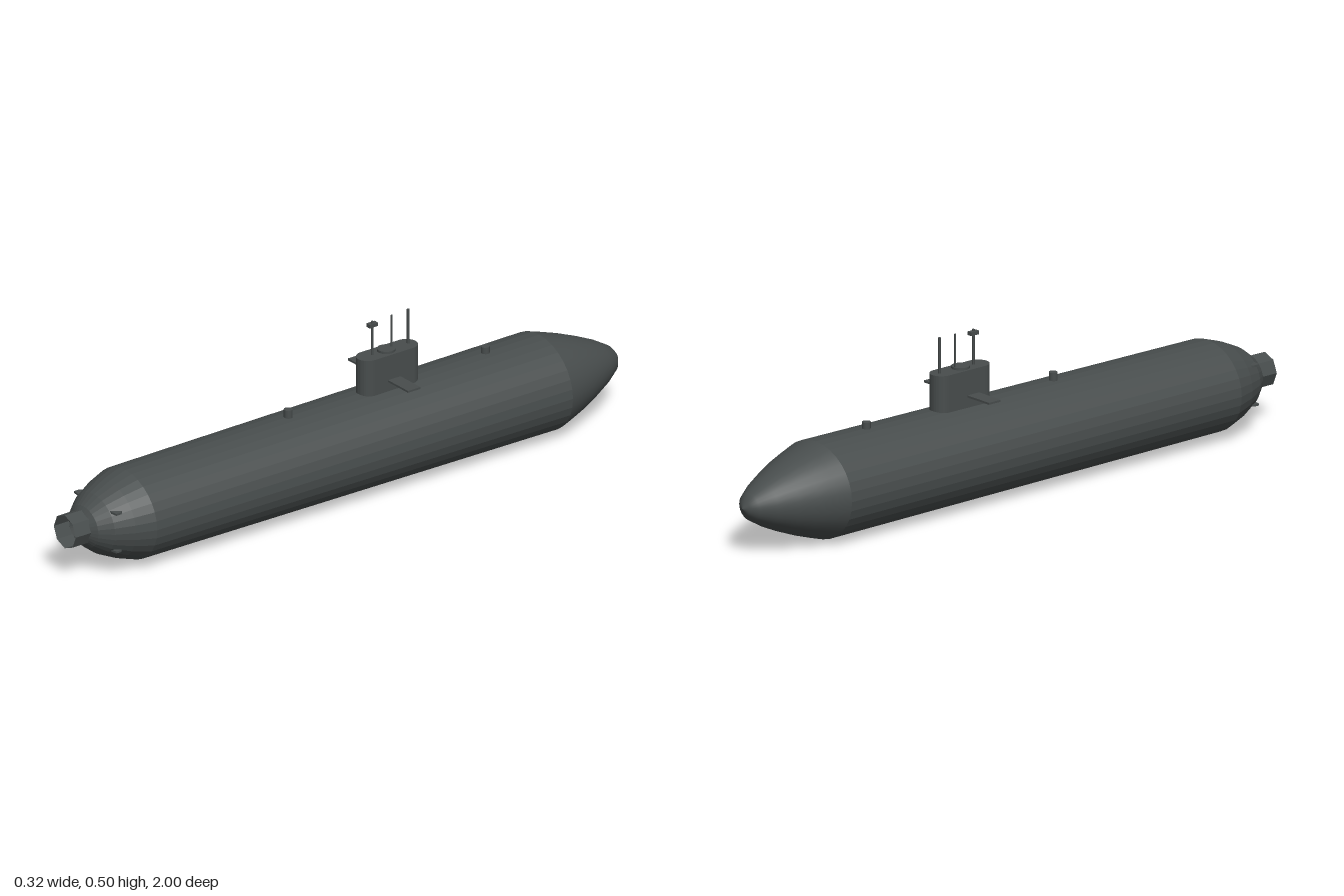
import * as THREE from 'three';

export function createModel() {
  const group = new THREE.Group();
  const paint = new THREE.MeshStandardMaterial({ color: 0x484d4d });
  paint.name = 'darkGrey';
  paint.side = THREE.DoubleSide;
  const CY = 0.146; // height of the hull axis

  function add(name, geometry, x = 0, y = 0, z = 0, flat = false) {
    let g = geometry;
    if (flat) {
      g = geometry.toNonIndexed();
      g.computeVertexNormals();
    }
    const mesh = new THREE.Mesh(g, paint);
    mesh.name = name;
    mesh.position.set(x, y, z);
    group.add(mesh);
    return mesh;
  }

  // Revolve [radius, z] pairs around the long axis, slightly flattened in height
  function hullSection(name, profile, flat) {
    const g = new THREE.LatheGeometry(profile.map(([r, z]) => new THREE.Vector2(r, z)), 32);
    g.rotateX(Math.PI / 2);
    g.scale(1, 0.91, 1);
    add(name, g, 0, CY, 0, flat);
  }

  // Hull: bow, gently tapering body, stern with a recessed end
  hullSection('bow', [[0, -1], [0.022, -0.99], [0.045, -0.972], [0.075, -0.926],
    [0.103, -0.87], [0.127, -0.815], [0.145, -0.765], [0.16, -0.72]], false);
  hullSection('hullBody', [[0.16, -0.72], [0.15, 0.78]], true);
  hullSection('stern', [[0.15, 0.78], [0.129, 0.84], [0.101, 0.895], [0.07, 0.932],
    [0.04, 0.952], [0, 0.925]], true);

  // Open propulsor duct
  const duct = new THREE.CylinderGeometry(0.052, 0.052, 0.065, 8, 1, true);
  duct.rotateX(Math.PI / 2);
  add('propulsorDuct', duct, 0, 0.148, 0.9675, true);

  // Sail with rounded ends, extruded upwards
  const r = 0.034, zFront = 0.098, zBack = 0.238;
  const plan = new THREE.Shape();
  plan.absarc(0, zBack, r, 0, Math.PI, false);
  plan.absarc(0, zFront, r, Math.PI, Math.PI * 2, false);
  const sail = new THREE.ExtrudeGeometry(plan, { depth: 0.137, bevelEnabled: false, curveSegments: 8 });
  sail.rotateX(-Math.PI / 2);
  add('sail', sail, 0, 0.26, 0);
  add('sailHatch', new THREE.CylinderGeometry(0.027, 0.027, 0.008, 16), 0, 0.4, -0.165);

  // Masts: periscope with a head, then two plain masts
  const masts = [['periscope', -0.115, 0.004, 0.503], ['thinMast', -0.185, 0.003, 0.503],
    ['rearMast', -0.245, 0.004, 0.505]];
  for (const [name, z, radius, top] of masts) {
    add(name, new THREE.CylinderGeometry(radius, radius, top - 0.39, 8), 0, (top + 0.39) / 2, z);
  }
  add('periscopeHead', new THREE.BoxGeometry(0.016, 0.011, 0.03), 0, 0.492, -0.115);

  // Sail planes and stern fins, mirrored
  for (const s of [1, -1]) {
    add('sailPlane', new THREE.BoxGeometry(0.094, 0.006, 0.045), s * 0.095, 0.325, -0.158);
    for (const y of [0.207, 0.088]) {
      const shape = new THREE.Shape([[0.06, -0.825], [0.1, -0.872], [0.1, -0.89], [0.06, -0.895]]
        .map(([x, v]) => new THREE.Vector2(s * x, v)));
      const fin = new THREE.ExtrudeGeometry(shape, { depth: 0.006, bevelEnabled: false });
      fin.rotateX(-Math.PI / 2);
      add('sternFin', fin, 0, y - 0.003, 0);
    }
  }

  // Deck hatches
  for (const z of [0.19, -0.525]) {
    add('deckHatch', new THREE.CylinderGeometry(0.013, 0.013, 0.04, 12), 0, 0.29, z);
  }

  return group;
}
